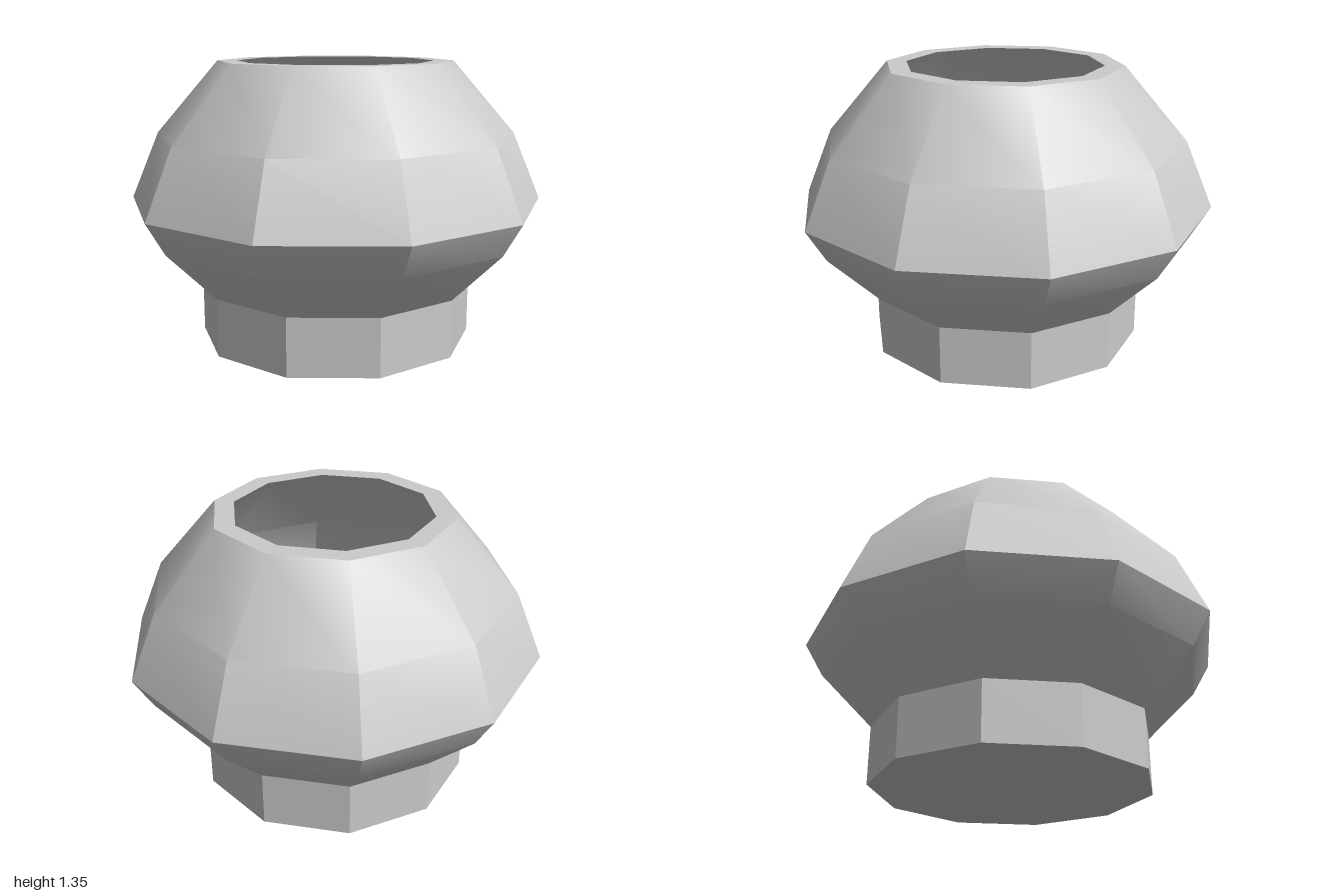
import * as THREE from 'three';
import { toCreasedNormals } from 'three/addons/utils/BufferGeometryUtils.js';

const SIDES = 10;

// Ten-sided ring surface turned from [radius, height] pairs, with a corner on +x
function turned(name, profile, material) {
  const points = profile.map(([r, y]) => new THREE.Vector2(r, y));
  const lathe = new THREE.LatheGeometry(points, SIDES, Math.PI / 2);
  const mesh = new THREE.Mesh(toCreasedNormals(lathe, Math.PI / 6), material);
  mesh.name = name;
  return mesh;
}

export function createModel() {
  const group = new THREE.Group();
  group.name = 'pot';
  const material = new THREE.MeshStandardMaterial({ color: 0xcccccc });

  // Straight foot with a closed underside
  group.add(turned('foot', [[0, 0], [0.665, 0], [0.665, 0.277]], material));

  // Bulging outer wall
  group.add(turned('body', [
    [0.665, 0.277], [0.91, 0.525], [1, 0.68], [0.865, 1], [0.565, 1.347],
  ], material));

  // Flat lip around the mouth
  group.add(turned('rim', [[0.565, 1.347], [0.47, 1.347]], material));

  // Hollow inside following the outer wall, down to a flat floor
  group.add(turned('interior', [
    [0.47, 1.347], [0.78, 0.97], [0.895, 0.69], [0.83, 0.58],
    [0.57, 0.315], [0.57, 0.1], [0, 0.1],
  ], material));

  return group;
}
